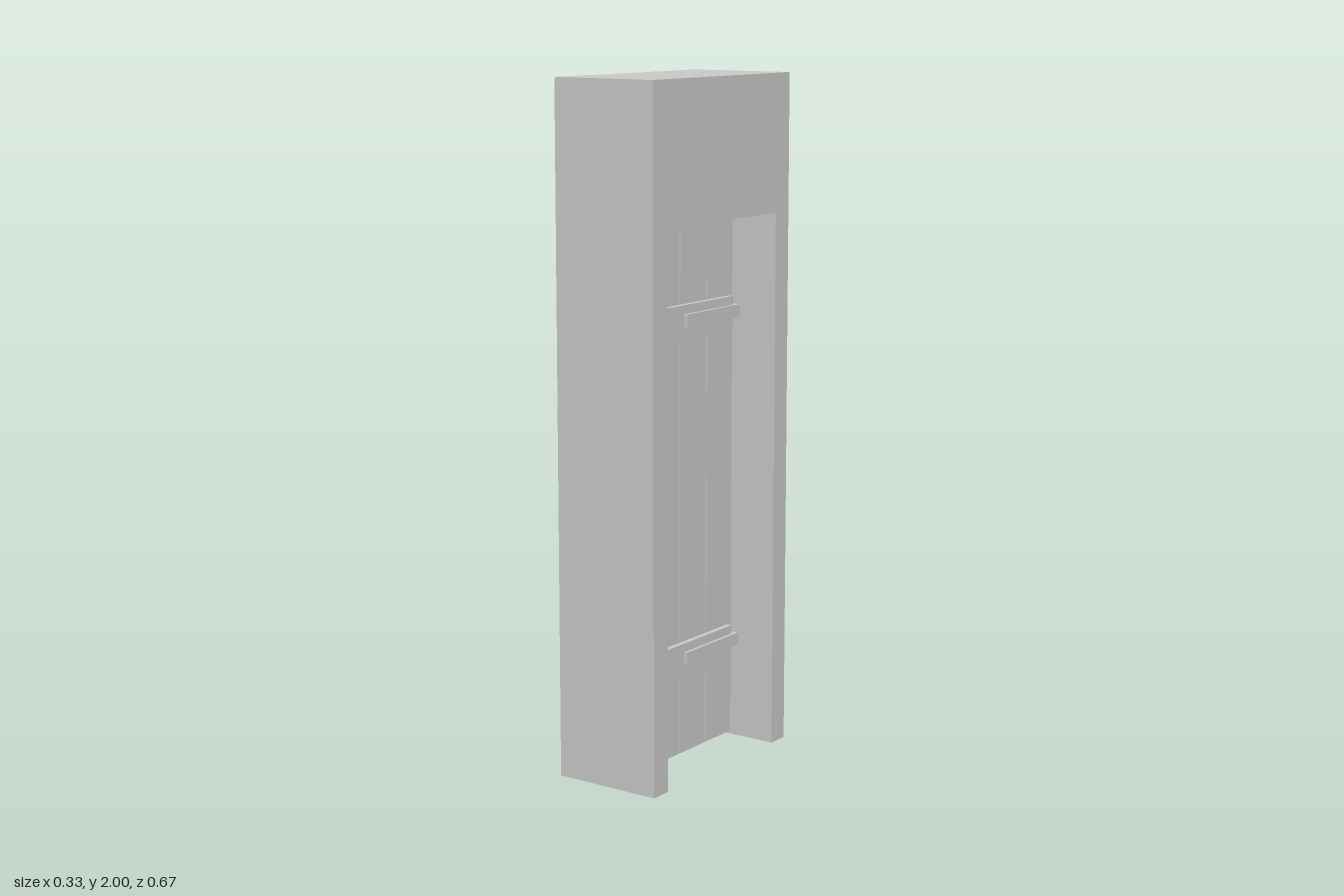
import * as THREE from 'three';

const material = new THREE.MeshStandardMaterial({ color: 0xcccccc, flatShading: true });

// Box given by its extents on each axis
function box(name, [x0, x1], [y0, y1], [z0, z1]) {
  const mesh = new THREE.Mesh(new THREE.BoxGeometry(x1 - x0, y1 - y0, z1 - z0), material);
  mesh.position.set((x0 + x1) / 2, (y0 + y1) / 2, (z0 + z1) / 2);
  mesh.name = name;
  return mesh;
}

export function createModel() {
  const group = new THREE.Group();
  group.name = 'doorInWall';

  const depth = 0.3333, halfWidth = 0.3333, height = 2;
  const halfOpening = 0.2667, openingTop = 1.6;
  const doorFace = 0.0167;

  // Wall block with a doorway cut through to the floor
  const outline = new THREE.Shape([
    [-halfWidth, 0], [-halfOpening, 0], [-halfOpening, openingTop], [halfOpening, openingTop],
    [halfOpening, 0], [halfWidth, 0], [halfWidth, height], [-halfWidth, height],
  ].map(([x, y]) => new THREE.Vector2(x, y)));
  const wallGeometry = new THREE.ExtrudeGeometry(outline, { depth, bevelEnabled: false });
  wallGeometry.translate(0, 0, -depth / 2).rotateY(Math.PI / 2);
  const wall = new THREE.Mesh(wallGeometry, material);
  wall.name = 'wall';
  group.add(wall);

  // Door leaf of four upright planks with narrow gaps
  const door = new THREE.Group();
  door.name = 'door';
  const pitch = halfOpening / 2, gap = 0.004;
  for (let i = 0; i < 4; i++) {
    const z = -halfOpening + i * pitch;
    door.add(box('plank', [-doorFace, doorFace], [0.01, 1.593], [z + gap / 2, z + pitch - gap / 2]));
  }

  // Cross battens, each with a strap hinge reaching to the jamb
  for (const y of [0.305, 1.305]) {
    door.add(box('batten', [doorFace, 0.033], [y - 0.045, y + 0.045], [-0.245, 0.248]));
    door.add(box('hinge', [doorFace, 0.043], [y - 0.019, y + 0.019], [-0.2655, 0]));
  }

  // Handle block
  door.add(box('handle', [doorFace, 0.037], [0.73, 0.81], [0.147, 0.19]));
  group.add(door);

  return group;
}
